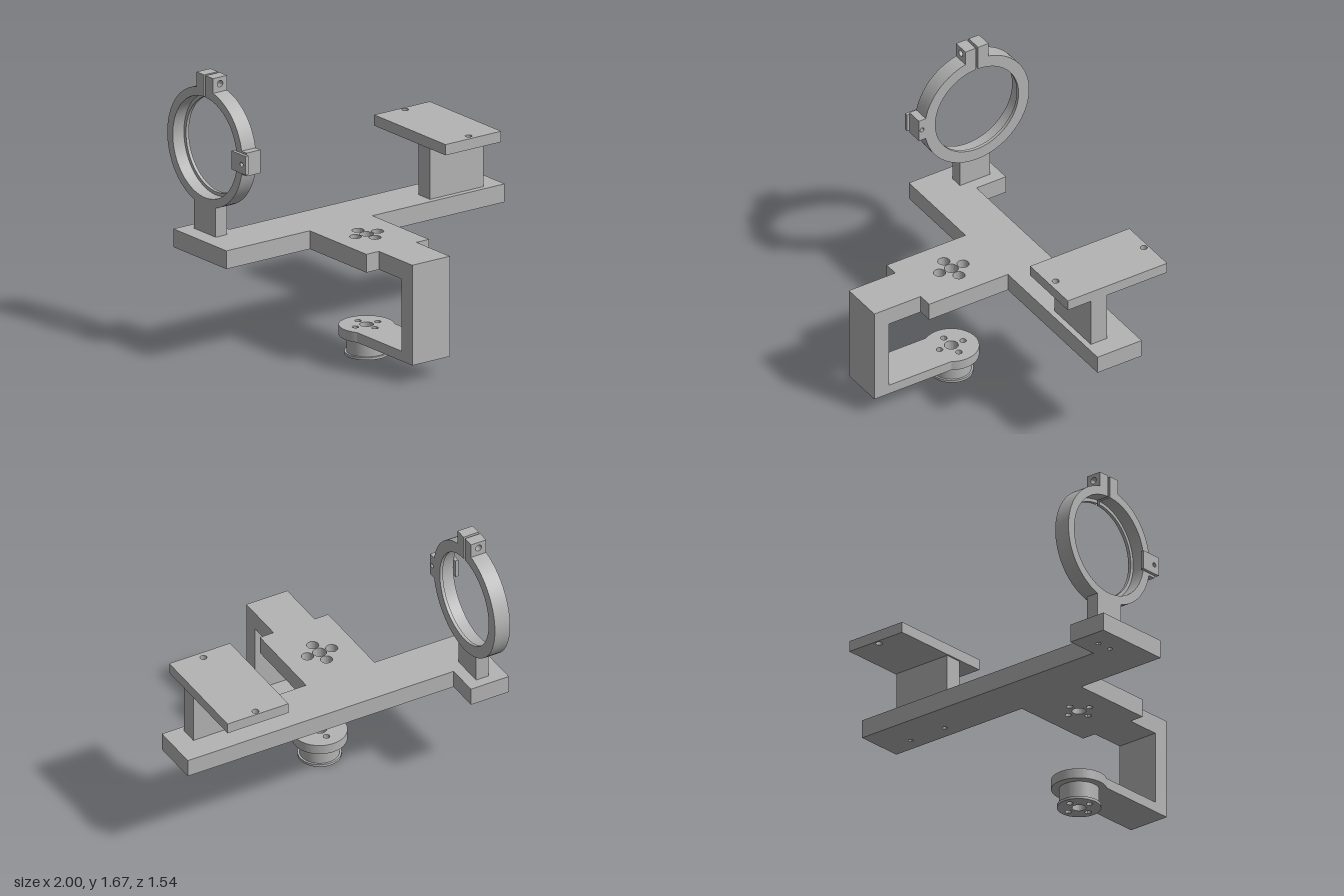
import * as THREE from 'three';
import { toCreasedNormals } from 'three/addons/utils/BufferGeometryUtils.js';

export function createModel() {
  const model = new THREE.Group();
  model.name = 'opticalMountBracket';
  const grey = new THREE.MeshStandardMaterial({ color: 0xb3b3b3 });
  grey.name = 'machined grey';

  const add = (name, geometry) => {
    const mesh = new THREE.Mesh(geometry, grey);
    mesh.name = name;
    model.add(mesh);
    return mesh;
  };

  // Box given by its limits on each axis
  const box = (name, x0, x1, y0, y1, z0, z1) =>
    add(name, new THREE.BoxGeometry(x1 - x0, y1 - y0, z1 - z0)
      .translate((x0 + x1) / 2, (y0 + y1) / 2, (z0 + z1) / 2));

  const circle = (x, y, r) => new THREE.Path().absarc(x, y, r, 0, Math.PI * 2, false);
  const disc = (x, y, r) => new THREE.Shape().absarc(x, y, r, 0, Math.PI * 2, false);
  const polygon = (points) => new THREE.Shape(points.map(([x, y]) => new THREE.Vector2(x, y)));
  const rect = (x0, x1, y0, y1) => polygon([[x0, y0], [x1, y0], [x1, y1], [x0, y1]]);

  const extrude = (shape, depth) => toCreasedNormals(
    new THREE.ExtrudeGeometry(shape, { depth, bevelEnabled: false, curveSegments: 40 }), 0.5);

  // Extrusion upwards; shape coordinates are (x, -z)
  const slab = (name, shape, holes, y0, y1) => {
    for (const [x, z, r] of holes) shape.holes.push(circle(x, -z, r));
    return add(name, extrude(shape, y1 - y0).rotateX(-Math.PI / 2).translate(0, y0, 0));
  };
  // Extrusion along +x; shape coordinates are (-z, y)
  const sideSlab = (name, shape, x0, x1) =>
    add(name, extrude(shape, x1 - x0).rotateY(Math.PI / 2).translate(x0, 0, 0));

  // Bolt circle shared by base plate, lower disc and boss
  const cx = -0.175, cz = 0.16;
  const boltPattern = (r) => [
    [cx, cz, 0.04],
    ...[[1, 0], [-1, 0], [0, 1], [0, -1]].map(([i, j]) => [cx + i * 0.08, cz + j * 0.08, r]),
  ];

  // Base plate in two layers, so that the bolt holes are counterbored
  const screwHoles = [
    [0.555, -0.17, 0.015], [0.81, -0.17, 0.015],
    [-0.86, -0.46, 0.015], [-0.86, -0.36, 0.015],
  ];
  const baseOutline = () => polygon([
    [-1, 0.58], [-1, 0.08], [-0.4, 0.08], [-0.4, -0.455], [-0.31, -0.455], [-0.31, -0.67],
    [-0.04, -0.67], [-0.04, -0.455], [0.05, -0.455], [0.05, 0.08], [1, 0.08], [1, 0.38],
    [-0.75, 0.38], [-0.75, 0.58],
  ]);
  slab('basePlateLower', baseOutline(), [...boltPattern(0.019), ...screwHoles], 0.61, 0.665);
  slab('basePlateUpper', baseOutline(), [...boltPattern(0.035), ...screwHoles], 0.665, 0.72);

  // Drop bracket: upright, then arm ending in a round pad
  box('bracketUpright', -0.31, -0.04, 0.115, 0.72, 0.67, 0.77);
  const padR = 0.16, halfW = 0.135;
  const join = Math.asin(halfW / padR);
  const arm = new THREE.Shape();
  arm.moveTo(cx - halfW, -0.67);
  arm.lineTo(cx + halfW, -0.67);
  arm.absarc(cx, -cz, padR, -Math.PI / 2 + join, Math.PI * 1.5 - join, false);
  arm.closePath();
  slab('bracketArm', arm, boltPattern(0.019), 0.115, 0.175);

  // Round boss and flange under the pad
  slab('boss', disc(cx, -cz, 0.115), boltPattern(0.019), 0.016, 0.115);
  slab('bossFlange', disc(cx, -cz, 0.127), boltPattern(0.019), 0, 0.016);

  // Raised platform
  box('platformPillar', 0.49, 0.875, 0.72, 1.03, -0.225, -0.115);
  slab('platform', rect(0.48, 0.88, -0.045, 0.63),
    [[0.68, 0, 0.02], [0.68, -0.6, 0.02]], 1.03, 1.095);

  // Split clamp ring: wide bore with a narrower lip on one side
  const ringY = 1.235, ringZ = -0.415, outerR = 0.355, gap = 0.008;
  const splitRing = (bore) => {
    const a = Math.asin(gap / outerR), b = Math.asin(gap / bore), top = Math.PI / 2;
    const s = new THREE.Shape();
    s.absarc(-ringZ, ringY, outerR, top + a, top - a + Math.PI * 2, false);
    s.absarc(-ringZ, ringY, bore, top - b + Math.PI * 2, top + b, true);
    s.closePath();
    return s;
  };
  sideSlab('clampRing', splitRing(0.303), -0.9, -0.82);
  sideSlab('clampRingLip', splitRing(0.283), -0.82, -0.8);

  // Ring pillar, its top hollowed to follow the ring
  const half = 0.1025, seatR = 0.345, t = Math.asin(half / seatR);
  const post = new THREE.Shape();
  post.moveTo(-ringZ - half, 0.72);
  post.lineTo(-ringZ + half, 0.72);
  post.absarc(-ringZ, ringY, seatR, -Math.PI / 2 + t, -Math.PI / 2 - t, true);
  post.closePath();
  sideSlab('ringPillar', post, -0.9, -0.82);

  // Clamp ears either side of the split, drilled along z
  for (const side of [-1, 1]) {
    const ear = rect(-0.9, -0.8, ringY + 0.306, 1.67);
    ear.holes.push(circle(-0.85, 1.63, 0.02));
    const z = side > 0 ? ringZ + gap : ringZ - 0.078;
    add(side > 0 ? 'frontClampEar' : 'backClampEar', extrude(ear, 0.07).translate(0, 0, z));
  }

  // Side lug with a thin drilled plate on its outer face
  const lug = rect(0.02, 0.105, 1.165, 1.305);
  lug.holes.push(circle(0.042, ringY, 0.014));
  sideSlab('sideLug', lug, -0.9, -0.8);
  const plate = rect(0.003, 0.137, 1.18, 1.293);
  plate.holes.push(circle(0.042, ringY, 0.014));
  sideSlab('lugPlate', plate, -0.92, -0.9);

  return model;
}
